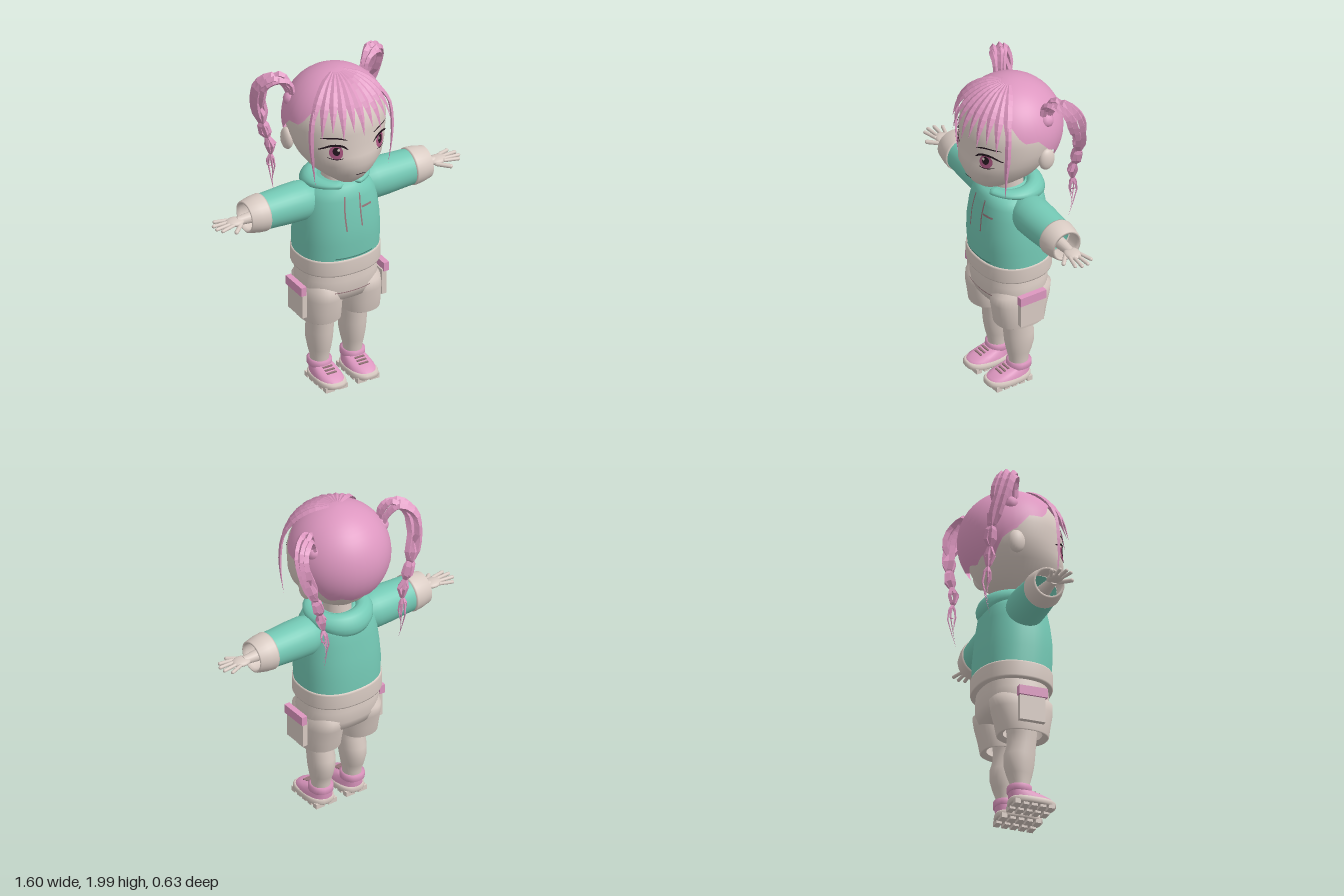
import * as THREE from 'three';
import { mergeVertices } from 'three/addons/utils/BufferGeometryUtils.js';

const mat = (name, color) => new THREE.MeshStandardMaterial({ name, color, side: THREE.DoubleSide });
const V = (x, y, z) => new THREE.Vector3(x, y, z);

// Surface from a rule f(u, v) -> Vector3, smooth or faceted
function grid(nu, nv, f, flat = false) {
  const pos = [], idx = [];
  for (let j = 0; j <= nv; j++) for (let i = 0; i <= nu; i++) pos.push(...f(i / nu, j / nv, i, j).toArray());
  for (let j = 0; j < nv; j++) for (let i = 0; i < nu; i++) {
    const a = j * (nu + 1) + i, b = a + 1, c = a + nu + 1, d = c + 1;
    idx.push(a, b, d, a, d, c);
  }
  let g = new THREE.BufferGeometry();
  g.setAttribute('position', new THREE.Float32BufferAttribute(pos, 3));
  g.setIndex(idx);
  g = flat ? g.toNonIndexed() : mergeVertices(g, 1e-5);
  g.computeVertexNormals();
  return g;
}

// Stack of superellipse sections [y, halfWidth, zFront, zBack]
const spow = (a, p) => Math.sign(a) * Math.pow(Math.abs(a), p);
function loft(secs, e = 2, cx = 0, n = 48) {
  return grid(n, secs.length - 1, (u, v, i, j) => {
    const [y, hx, zf, zb] = secs[j], a = u === 1 ? 0 : u * Math.PI * 2;
    return V(cx + hx * spow(Math.sin(a), 2 / e), y, (zf + zb) / 2 + (zf - zb) / 2 * spow(Math.cos(a), 2 / e));
  });
}

// Front depth of a loft at (x, y), used to lay painted details on it
function frontOf(secs, e) {
  return (x, y) => {
    let k = 0;
    while (k < secs.length - 2 && secs[k + 1][0] < y) k++;
    const t = (y - secs[k][0]) / (secs[k + 1][0] - secs[k][0]);
    const [, hx, zf, zb] = secs[k].map((s, i) => s + (secs[k + 1][i] - s) * t);
    return (zf + zb) / 2 + (zf - zb) / 2 * Math.pow(Math.max(0, 1 - Math.pow(Math.abs(x / hx), e)), 1 / e);
  };
}

// Painted line following a surface
function stripe(front, pts, w, taper = 0, lift = 0.006) {
  const c = new THREE.CatmullRomCurve3(pts.map(([x, y]) => V(x, y, 0)));
  return grid(16, 1, (u, v) => {
    const p = c.getPoint(u), t = c.getTangent(u), k = (v - 0.5) * w * (1 - taper * (2 * u - 1) ** 2);
    const x = p.x - t.y * k, y = p.y + t.x * k;
    return V(x, y, front(x, y) + lift);
  });
}

// Painted oval following a surface
function oval(front, cx, cy, rx, ry, lift) {
  return grid(24, 3, (u, v) => {
    const a = -u * Math.PI * 2, x = cx + rx * v * Math.cos(a), y = cy + ry * v * Math.sin(a);
    return V(x, y, front(x, y) + lift);
  });
}

// Faceted, tapering lock of hair
function lock(pts, w, t, normalAt, n = 10) {
  const c = new THREE.CatmullRomCurve3(pts);
  return grid(4, n, (u, v) => {
    const p = c.getPoint(v), tan = c.getTangent(v), nor = normalAt(p);
    nor.addScaledVector(tan, -nor.dot(tan)).normalize();
    const side = tan.clone().cross(nor), a = u * Math.PI * 2;
    const k = Math.min(1, 0.45 + v * 2.5) * Math.min(1, (1 - v) * 2.6);
    return p.addScaledVector(nor, Math.cos(a) * t * k / 2).addScaledVector(side, Math.sin(a) * w * k / 2);
  }, true);
}

export function createModel() {
  const pink = mat('pink', 0xdd97c0), cream = mat('cream', 0xd9cbc3), teal = mat('teal', 0x74c9b5);
  const dark = mat('dark', 0x24161f), iris = mat('iris', 0xa8557f), seam = mat('seam', 0x4d8a7e), cord = mat('cord', 0x96757a);
  const root = new THREE.Group();
  root.name = 'figure';
  const add = (parent, name, geo, m, x = 0, y = 0, z = 0) => {
    const mesh = new THREE.Mesh(geo, m);
    mesh.name = name;
    mesh.position.set(x, y, z);
    parent.add(mesh);
    return mesh;
  };
  const rod = (parent, name, a, b, r, m) => {
    const d = b.clone().sub(a), mid = a.clone().add(b).multiplyScalar(0.5);
    add(parent, name, new THREE.CapsuleGeometry(r, d.length() - r, 4, 10), m, mid.x, mid.y, mid.z)
      .quaternion.setFromUnitVectors(V(0, 1, 0), d.normalize());
  };

  // Head and neck
  const headSecs = [[1.315, 0.001, 0.12, 0.11], [1.32, 0.035, 0.15, 0.05], [1.335, 0.07, 0.178, -0.03], [1.38, 0.13, 0.23, -0.13],
    [1.43, 0.185, 0.262, -0.19], [1.5, 0.235, 0.29, -0.24], [1.56, 0.262, 0.283, -0.265], [1.62, 0.278, 0.272, -0.283],
    [1.7, 0.285, 0.272, -0.29], [1.76, 0.277, 0.262, -0.285], [1.82, 0.256, 0.237, -0.268], [1.88, 0.213, 0.198, -0.228],
    [1.93, 0.155, 0.142, -0.17], [1.955, 0.1, 0.09, -0.11], [1.97, 0.001, -0.01, -0.012]];
  const face = frontOf(headSecs, 2);
  add(root, 'head', loft(headSecs, 2, 0, 64), cream);
  add(root, 'neck', new THREE.CylinderGeometry(0.075, 0.085, 0.2, 24), cream, 0, 1.32, -0.01);
  add(root, 'mouth', stripe(face, [[-0.032, 1.434], [0, 1.437], [0.032, 1.434]], 0.007, 0.5), dark);

  // Hair cap with a ragged hem
  const centre = V(0, 1.68, -0.015);
  const ball = (a, phi, r) => V(Math.sin(a) * Math.sin(phi) * r, centre.y + Math.cos(phi) * r, centre.z + Math.cos(a) * Math.sin(phi) * r);
  const hem = [[0, 0.4], [0.5, 0.5], [0.9, 1.0], [1.2, 1.33], [1.57, 1.5], [1.9, 1.75], [2.3, 2.2], [3.2, 2.3]];
  const hemAt = a => {
    const k = hem.findIndex(h => h[0] > a), [a0, p0] = hem[k - 1], [a1, p1] = hem[k];
    return p0 + (p1 - p0) * (a - a0) / (a1 - a0);
  };
  add(root, 'hairCap', grid(96, 18, (u, v, i) => {
    const a = u * Math.PI * 2, edge = hemAt(Math.min(a, Math.PI * 2 - a)) - Math.abs((i % 8) - 4) * 0.025;
    return ball(a, edge * (1 - v), 0.302);
  }), pink);

  // Fringe
  const outward = p => p.clone().sub(centre);
  for (let i = -5; i <= 5; i++) {
    const a = i * 0.19, end = 1.52 - (i % 2 ? 0.12 : 0);
    const pts = [0, 0.25, 0.5, 0.75, 1].map(t => ball(a, 0.16 + (end - 0.16) * t, 0.303 + 0.024 * t));
    add(root, 'fringeLock', lock(pts, 0.05, 0.022, outward), pink);
  }

  // Hoodie body, hem band, neck hood
  const bodySecs = [[0.84, 0.248, 0.202, -0.222], [0.95, 0.25, 0.21, -0.222], [1.05, 0.244, 0.208, -0.212], [1.15, 0.232, 0.195, -0.2],
    [1.22, 0.215, 0.182, -0.19], [1.26, 0.19, 0.172, -0.178], [1.29, 0.145, 0.15, -0.15], [1.31, 0.09, 0.1, -0.1]];
  const chest = frontOf(bodySecs, 2.3);
  add(root, 'hoodieBody', loft(bodySecs, 2.3), teal);
  add(root, 'hoodieHem', loft([[0.75, 0.2, 0.17, -0.19], [0.75, 0.25, 0.207, -0.228], [0.76, 0.254, 0.212, -0.232], [0.84, 0.254, 0.212, -0.232],
    [0.85, 0.25, 0.207, -0.228], [0.85, 0.23, 0.19, -0.21]], 2.3), cream);
  add(root, 'hood', grid(48, 14, (u, v) => {
    const a = 0.24 + u * (Math.PI * 2 - 0.48), back = (1 - Math.cos(a)) / 2, end = u === 0 || u === 1 ? 0.01 : 1;
    const q = v * Math.PI * 2, w = (0.03 + 0.025 * back) * end, h = (0.02 + 0.05 * back * back) * end;
    const r = 0.15 + w * Math.cos(q) - back * 0.012 * Math.sin(q);
    return V(r * Math.sin(a) * 1.05, 1.308 - 0.045 * back * back + h * Math.sin(q), -0.005 + r * Math.cos(a));
  }), teal);

  // Hoodie painted details
  add(root, 'leftCord', stripe(chest, [[0.045, 1.25], [0.04, 1.15], [0.045, 1.05]], 0.009), cord);
  add(root, 'rightCord', stripe(chest, [[-0.05, 1.25], [-0.06, 1.15], [-0.055, 1.04]], 0.009), cord);
  add(root, 'chestTab', stripe(chest, [[0.05, 1.165], [0.085, 1.165], [0.12, 1.165]], 0.012), cord);
  add(root, 'pocketSeam', stripe(chest, [[-0.12, 0.866], [0, 0.864], [0.12, 0.866]], 0.007), seam);

  // Shorts hips
  const hipSecs = [[0.56, 0.12, 0.1, -0.11], [0.575, 0.22, 0.17, -0.18], [0.63, 0.238, 0.188, -0.2], [0.7, 0.23, 0.188, -0.203], [0.78, 0.215, 0.18, -0.195]];
  add(root, 'shortsHips', loft(hipSecs, 2.4), cream);
  add(root, 'shortsFold', stripe(frontOf(hipSecs, 2.4), [[-0.12, 0.634], [0, 0.632], [0.12, 0.634]], 0.005), cord);

  // Everything that comes in pairs
  for (const s of [1, -1]) {
    const g = new THREE.Group();
    g.name = s > 0 ? 'leftSide' : 'rightSide';
    g.scale.x = s;
    root.add(g);

    // Eye, brow and ear
    add(g, 'iris', oval(face, 0.142, 1.6, 0.034, 0.044, 0.004), iris);
    add(g, 'pupil', oval(face, 0.142, 1.607, 0.018, 0.026, 0.006), dark);
    add(g, 'eyeGlint', oval(face, 0.132, 1.617, 0.007, 0.009, 0.008), cream);
    add(g, 'upperLash', stripe(face, [[0.082, 1.617], [0.115, 1.641], [0.165, 1.645], [0.222, 1.612]], 0.015, 0.7, 0.008), dark);
    add(g, 'lowerLash', stripe(face, [[0.11, 1.563], [0.145, 1.556], [0.185, 1.566]], 0.005, 0.5), dark);
    add(g, 'brow', stripe(face, [[0.085, 1.678], [0.14, 1.692], [0.215, 1.688]], 0.01, 0.7), dark);
    add(g, 'ear', new THREE.SphereGeometry(1, 20, 14), cream, 0.272, 1.57, -0.085).scale.set(0.032, 0.068, 0.05);

    // Long face lock
    add(g, 'sideLock', lock([ball(0.95, 0.25, 0.303), ball(0.97, 0.7, 0.312), ball(0.97, 1.2, 0.322), V(0.264, 1.66, 0.17),
      V(0.256, 1.52, 0.175), V(0.238, 1.38, 0.17)], 0.034, 0.02, outward, 14), pink);

    // Looped pigtail of several twisting locks
    for (let k = 0; k < 5; k++) {
      const o = (k - 2) * 0.5, w = Math.sin(k * 2.4) * 0.025, q = Math.cos(k * 2.4) * 0.025;
      add(g, 'pigtailLock', lock([V(0.23, 1.8, -0.1 + o * 0.03), V(0.255 + w * 0.5, 1.9 + o * 0.02, -0.11 + o * 0.03),
        V(0.31 + w, 1.965 - Math.abs(o) * 0.02, -0.14 + o * 0.04), V(0.375 + w, 1.9, -0.19 + o * 0.04), V(0.38 + w, 1.79, -0.225 + o * 0.04),
        V(0.345 + w, 1.66, -0.25 + q), V(0.315 - w, 1.55, -0.26 - q), V(0.28 + w, 1.44, -0.25 + q), V(0.272 - w, 1.32, -0.265 - q),
        V(0.255 + w * 0.6, 1.1 + 0.045 * ((k * 2) % 5), -0.255 + q * 0.6)], 0.042, 0.04, () => V(0.3, 0, 1), 22), pink);
    }
    add(g, 'pigtailKnot', new THREE.IcosahedronGeometry(0.045, 1), pink, 0.235, 1.81, -0.105);

    // Sleeve and open cuff
    const turned = (name, pts, m) => {
      add(g, name, new THREE.LatheGeometry(pts.map(p => new THREE.Vector2(...p)), 32), m, 0, 1.187, -0.012).rotation.z = -Math.PI / 2;
    };
    turned('sleeve', [[0.07, 0.1], [0.1, 0.16], [0.115, 0.23], [0.113, 0.32], [0.107, 0.42], [0.104, 0.485]], teal);
    turned('cuff', [[0.09, 0.475], [0.108, 0.475], [0.111, 0.485], [0.107, 0.53], [0.094, 0.59], [0.082, 0.592], [0.08, 0.57], [0.085, 0.49]], cream);

    // Hand
    const wrist = add(g, 'wrist', new THREE.CylinderGeometry(0.025, 0.042, 0.18, 16), cream, 0.555, 1.18, -0.005);
    wrist.rotation.z = -Math.PI / 2;
    add(g, 'palm', new THREE.SphereGeometry(1, 20, 12), cream, 0.66, 1.182, -0.005).scale.set(0.058, 0.02, 0.046);
    [[-0.038, -0.065, 0.765], [-0.015, -0.024, 0.793], [0.009, 0.016, 0.795], [0.03, 0.05, 0.775]].forEach(([z0, z1, x]) =>
      rod(g, 'finger', V(0.685, 1.184, z0), V(x, 1.18, z1), 0.0105, cream));
    rod(g, 'thumb', V(0.635, 1.175, 0.025), V(0.705, 1.168, 0.085), 0.0125, cream);

    // Shorts leg and cargo pocket
    add(g, 'shortsLeg', loft([[0.45, 0.085, 0.12, -0.105], [0.43, 0.112, 0.15, -0.135], [0.435, 0.118, 0.157, -0.142], [0.5, 0.121, 0.166, -0.155],
      [0.58, 0.121, 0.18, -0.178], [0.64, 0.11, 0.18, -0.19], [0.69, 0.08, 0.13, -0.14]], 2.3, 0.127, 36), cream);
    add(g, 'cargoPocket', new THREE.BoxGeometry(0.03, 0.16, 0.155), cream, 0.26, 0.555, 0.012);
    add(g, 'pocketFlap', new THREE.BoxGeometry(0.034, 0.055, 0.172), pink, 0.27, 0.652, 0.012);

    // Leg
    add(g, 'leg', loft([[0.08, 0.052, 0.05, -0.06], [0.15, 0.055, 0.055, -0.06], [0.2, 0.065, 0.068, -0.08], [0.26, 0.074, 0.08, -0.097],
      [0.32, 0.077, 0.086, -0.096], [0.38, 0.076, 0.09, -0.078], [0.44, 0.08, 0.095, -0.075], [0.54, 0.088, 0.1, -0.085]], 2, 0.108, 28), cream);

    // Shoe: studded sole, upper, ankle strap, laces
    add(g, 'sole', loft([[0.016, 0.001, 0.07, 0.069], [0.016, 0.078, 0.196, -0.062], [0.025, 0.085, 0.21, -0.068], [0.045, 0.084, 0.208, -0.068],
      [0.055, 0.076, 0.198, -0.063], [0.055, 0.001, 0.07, 0.069]], 2.7, 0.104, 36), cream);
    for (let k = 0; k < 5; k++) for (const x of [0.062, 0.146])
      add(g, 'tread', new THREE.BoxGeometry(0.058, 0.03, 0.034), cream, x, 0.015, -0.038 + k * 0.051);
    add(g, 'shoeUpper', loft([[0.05, 0.078, 0.198, -0.064], [0.065, 0.075, 0.186, -0.065], [0.08, 0.068, 0.145, -0.066], [0.094, 0.062, 0.095, -0.066],
      [0.105, 0.057, 0.062, -0.066], [0.105, 0.001, 0, -0.002]], 2.4, 0.104, 32), pink);
    add(g, 'ankleStrap', loft([[0.092, 0.056, 0.056, -0.064], [0.092, 0.068, 0.066, -0.074], [0.128, 0.068, 0.064, -0.074], [0.128, 0.05, 0.048, -0.058]], 2.3, 0.108, 28), pink);
    for (let k = 0; k < 3; k++)
      add(g, 'lace', new THREE.BoxGeometry(0.06, 0.007, 0.011), cord, 0.104, 0.103 - k * 0.008, 0.08 + k * 0.023);
  }
  return root;
}
